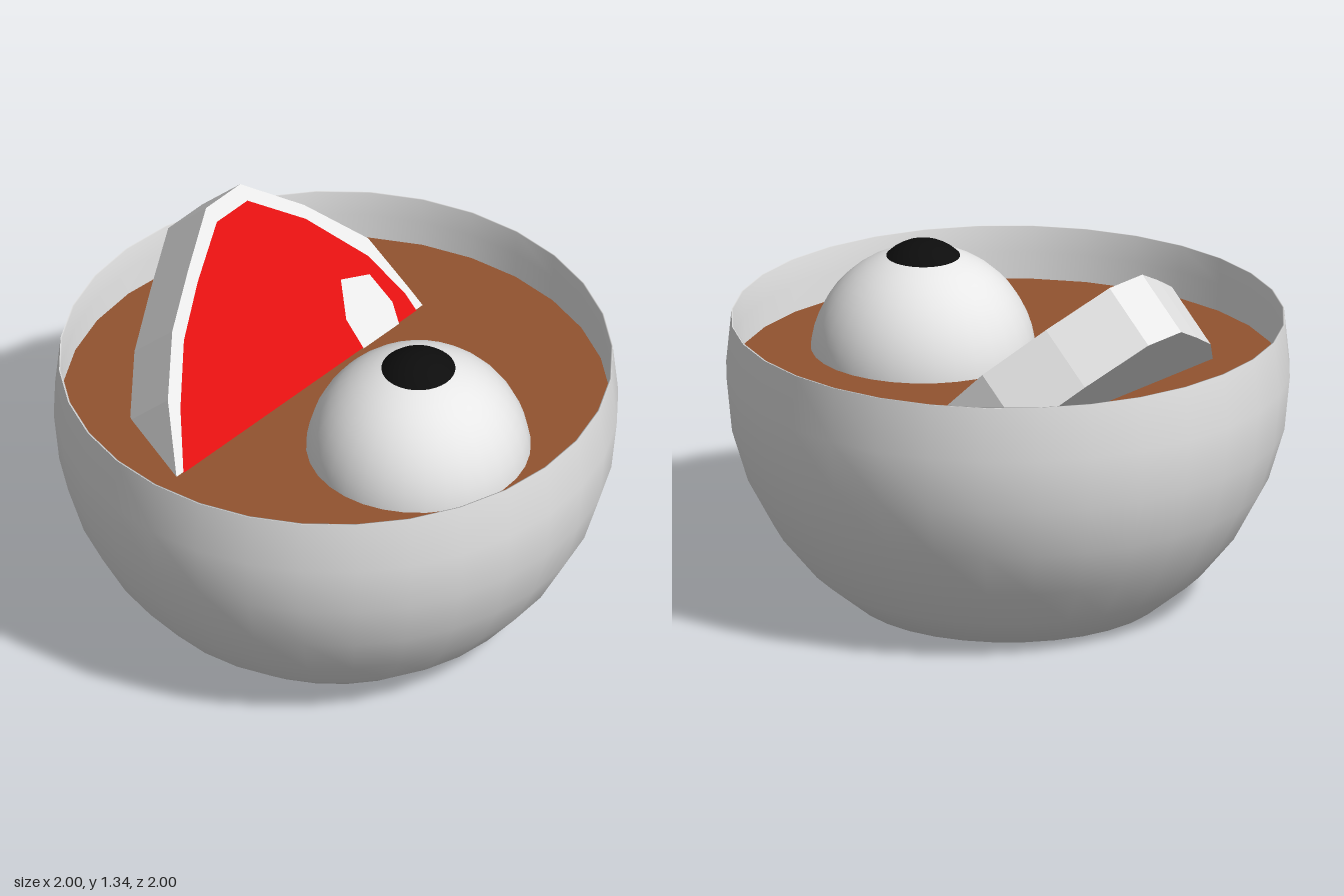
import * as THREE from 'three';

const material = (name, color) => {
  const m = new THREE.MeshStandardMaterial({ color });
  m.name = name;
  return m;
};

export function createModel() {
  const white = material('white', 0xe7e7e7);
  const red = material('red', 0xe01010);
  const brown = material('soup brown', 0x925330);
  const black = material('black', 0x0d0d0d);

  const model = new THREE.Group();
  model.name = 'soupBowl';
  const add = (name, geometry, mat, parent = model) => {
    const mesh = new THREE.Mesh(geometry, mat);
    mesh.name = name;
    parent.add(mesh);
    return mesh;
  };
  const vec = (x, y) => new THREE.Vector2(x, y);

  const level = 0.83; // soup surface, also the widest height of the bowl
  const step = Math.PI / 16;

  // Bowl: a sphere cut flat at the base and open at the top
  const profile = [vec(0, 0), vec(0.555, 0)];
  for (let i = -4; i <= 1; i++) {
    if (i === -4) profile.push(vec(Math.cos(4 * step), level - Math.sin(4 * step)));
    else profile.push(vec(Math.cos(i * step), level + Math.sin(i * step)));
  }
  add('bowlOutside', new THREE.LatheGeometry(profile, 32), white);
  add('bowlInside', new THREE.LatheGeometry(
    [vec(0.981, 1.025), vec(0.975, 1.025), vec(0.972, 0.93), vec(0.97, 0.8)], 32), white);

  // Soup surface
  const soup = add('soup', new THREE.CircleGeometry(0.971, 32), brown);
  soup.rotation.x = -Math.PI / 2;
  soup.position.y = level;

  // Floating eyeball with a bulging pupil
  add('eyeball', new THREE.SphereGeometry(0.4, 32, 24), white).position.set(0.385, 0.795, 0);
  add('pupil', new THREE.SphereGeometry(0.182, 32, 24), black).position.set(0.385, 1.046, 0);

  // Tilted meat slice: outlines are given as seen from above (x, z)
  // and laid onto the 45 degree cut face
  const slice = new THREE.Group();
  slice.name = 'meatSlice';
  const r = Math.SQRT1_2;
  slice.applyMatrix4(new THREE.Matrix4().makeBasis(
    new THREE.Vector3(0, 0, -1), new THREE.Vector3(-r, r, 0), new THREE.Vector3(r, r, 0)));
  slice.position.y = 0.69;
  model.add(slice);
  const outline = (points) =>
    new THREE.Shape(points.map(([x, z]) => vec(-z, -x * Math.SQRT2)));

  const rind = outline([
    [0, -0.64], [-0.14, -0.63], [-0.195, -0.62], [-0.355, -0.585], [-0.515, -0.425],
    [-0.65, -0.235], [-0.65, -0.05], [-0.548, 0.165], [-0.445, 0.37], [-0.31, 0.55],
    [-0.14, 0.7], [0, 0.8]]);
  const body = new THREE.ExtrudeGeometry(rind, { depth: 0.25, bevelEnabled: false });
  body.translate(0, 0, -0.25);
  add('rind', body, white, slice);

  const flesh = outline([
    [-0.05, -0.595], [-0.19, -0.59], [-0.32, -0.54], [-0.485, -0.395], [-0.606, -0.22],
    [-0.606, -0.055], [-0.51, 0.16], [-0.41, 0.35], [-0.275, 0.525], [-0.14, 0.665],
    [-0.05, 0.73]]);
  add('flesh', new THREE.ShapeGeometry(flesh), red, slice).position.z = 0.003;

  const bone = outline([
    [-0.08, -0.47], [-0.14, -0.495], [-0.19, -0.52], [-0.28, -0.5], [-0.31, -0.38],
    [-0.22, -0.305], [-0.08, -0.3]]);
  add('bone', new THREE.ShapeGeometry(bone), white, slice).position.z = 0.006;

  return model;
}
